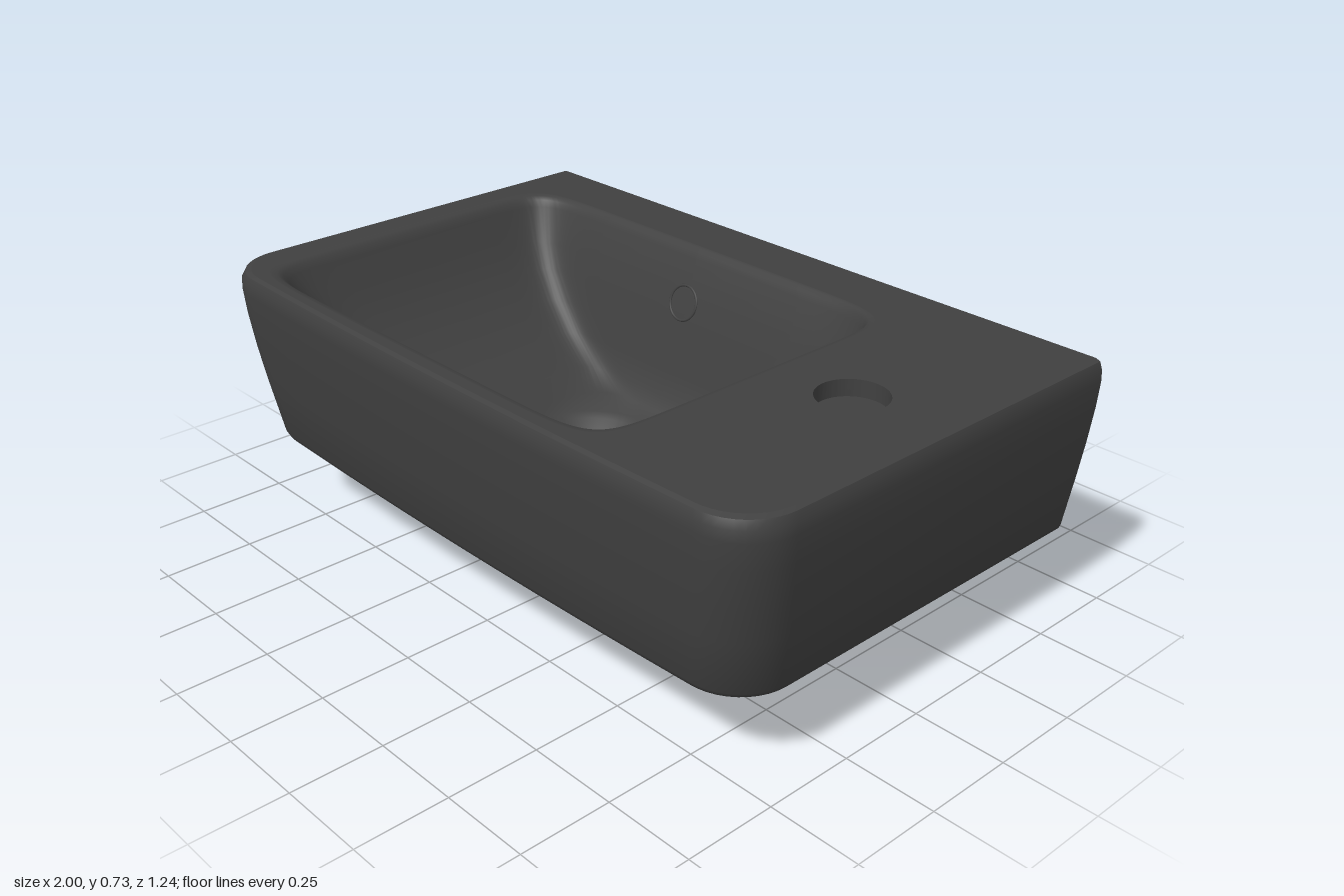
import * as THREE from 'three';
import { toCreasedNormals } from 'three/addons/utils/BufferGeometryUtils.js';

const ceramic = new THREE.MeshStandardMaterial({ color: 0x404040, side: THREE.DoubleSide });
ceramic.name = 'dark grey ceramic';

const BACK = -0.62, TOP = 0.725, LIP = 0.23, UNDER = 0.255;
const DRAIN = { x: -0.205, z: -0.025 };

// Skin through rows of [x, y, z] points
function loft(rows, { closed = false, flip = false, crease = 0.7 } = {}) {
  const n = rows[0].length, index = [];
  for (let i = 0; i < rows.length - 1; i++) {
    for (let j = 0; j < (closed ? n : n - 1); j++) {
      const k = (j + 1) % n;
      const a = i * n + j, b = i * n + k, c = a + n, d = b + n;
      index.push(...(flip ? [a, d, b, a, c, d] : [a, b, d, a, d, c]));
    }
  }
  const g = new THREE.BufferGeometry();
  g.setAttribute('position', new THREE.Float32BufferAttribute(rows.flat(2), 3));
  g.setIndex(index);
  return toCreasedNormals(g, crease);
}

// Flat horizontal plate from [x, z] outlines
function plate(outline, holes, y, up) {
  const s = up ? -1 : 1;
  const vec = pts => pts.map(([x, z]) => new THREE.Vector2(x, s * z));
  const shape = new THREE.Shape(vec(outline));
  shape.holes = holes.map(h => new THREE.Path(vec(h)));
  return new THREE.ShapeGeometry(shape).rotateX(s * Math.PI / 2).translate(0, y, 0);
}

// Upright plate in the x-y plane that faces the back
function backPlate(pts, z) {
  const shape = new THREE.Shape(pts.map(([x, y]) => new THREE.Vector2(-x, y)));
  return new THREE.ShapeGeometry(shape).rotateY(Math.PI).translate(0, 0, z);
}

// Closed loop between bounds: power 2 is an ellipse, higher is squarer
function loop(x0, x1, z0, z1, power = 2, count = 128) {
  const soft = v => Math.sign(v) * Math.abs(v) ** (2 / power);
  return Array.from({ length: count }, (_, i) => {
    const t = i / count * Math.PI * 2;
    return [
      (x0 + x1) / 2 + soft(Math.cos(t)) * (x1 - x0) / 2,
      (z0 + z1) / 2 + soft(Math.sin(t)) * (z1 - z0) / 2,
    ];
  });
}
const circle = (r, x = DRAIN.x, z = DRAIN.z) => loop(x - r, x + r, z - r, z + r);
const lift = (pts, y) => pts.map(([x, z]) => [x, y, z]);

// Plan outline: square back, rounded front corners, slightly bowed front
function outline(hx, front) {
  const r = 0.15, half = [[hx, BACK]];
  const bow = x => front - 0.02 * (x / hx) ** 2;
  for (let i = 0; i <= 10; i++) {
    const a = i / 10 * Math.PI / 2;
    half.push([hx - r + r * Math.cos(a), bow(hx - r) - r + r * Math.sin(a)]);
  }
  for (let i = 1; i <= 6; i++) {
    const x = (hx - r) * (1 - i / 6);
    half.push([x, bow(x)]);
  }
  return [...half, ...half.slice(0, -1).reverse().map(([x, z]) => [-x, z])];
}

// Arched slot profile, walked from +x to -x
function arch({ x, w, top }) {
  const pts = [[x + w / 2, UNDER]];
  for (let i = 0; i <= 12; i++) {
    const a = i / 12 * Math.PI;
    pts.push([x + w / 2 * Math.cos(a), top - w / 2 + w / 2 * Math.sin(a)]);
  }
  return [...pts, [x - w / 2, UNDER]];
}

export function createModel() {
  const model = new THREE.Group();
  const add = (name, geometry) => {
    const m = new THREE.Mesh(geometry, ceramic);
    m.name = name;
    model.add(m);
    return m;
  };

  // Outer walls and bottom lip: [y, half width, front z]
  const levels = [
    [TOP, 0.978, 0.602], [0.72, 0.99, 0.614], [0.70, 0.998, 0.622], [0.67, 1, 0.622], [0.6, 0.995, 0.617],
    [0.5, 0.983, 0.606], [0.4, 0.968, 0.592], [0.25, 0.943, 0.568], [0.237, 0.938, 0.562], [LIP, 0.926, 0.55],
    [LIP, 0.895, 0.518], [UNDER, 0.88, 0.503],
  ];
  add('outerWalls', loft(levels.map(([y, hx, f]) => lift(outline(hx, f), y))));

  // Basin: a rounded trough with sloping front and back walls, ending in the drain
  const rim = loop(-0.905, 0.5, -0.455, 0.57, 10);
  const basin = [
    [0.723, -0.888, 0.487, -0.447, 0.556, 10],
    [0.714, -0.875, 0.48, -0.44, 0.545, 10],
    [0.695, -0.866, 0.475, -0.43, 0.528, 11],
    [0.60, -0.82, 0.452, -0.394, 0.457, 12],
    [0.53, -0.775, 0.412, -0.372, 0.408, 12],
    [0.455, -0.71, 0.35, -0.35, 0.358, 11],
    [0.38, -0.625, 0.25, -0.329, 0.31, 10],
    [0.31, -0.515, 0.11, -0.307, 0.262, 8],
    [0.272, -0.44, 0.03, -0.28, 0.23, 4],
  ].map(([y, ...shape]) => lift(loop(...shape), y));
  [[0.25, 0.21], [0.238, 0.19], [0.205, 0.145], [0.185, 0.12], [0.17, 0.112], [0, 0.112]]
    .forEach(([y, r]) => basin.push(lift(circle(r), y)));
  add('basin', loft([lift(rim, TOP), ...basin], { closed: true, flip: true, crease: 0.9 }));

  // Deck with basin opening and shallow tap recess
  const tap = circle(0.09, 0.72, -0.03);
  add('deck', plate(outline(levels[0][1], levels[0][2]), [rim, tap], TOP, true));
  add('tapRecessWall', loft([lift(tap, TOP), lift(tap, TOP - 0.045)], { closed: true, flip: true }));
  add('tapRecessFloor', plate(tap, [], TOP - 0.045, true));

  // Overflow opening on the basin's back wall
  const overflow = add('overflowRing', new THREE.TorusGeometry(0.05, 0.004, 8, 32));
  overflow.position.set(-0.2, 0.575, -0.386);
  overflow.rotation.x = -0.32;

  // Back wall with four mounting slots and the end of the support
  const slots = [
    { x: 0.645, w: 0.09, top: 0.48, depth: 0.1 },
    { x: 0.06, w: 0.16, top: 0.63, depth: 0.16 },
    { x: -0.385, w: 0.1, top: 0.63, depth: 0.16 },
    { x: -0.705, w: 0.085, top: 0.48, depth: 0.1 },
  ];
  const side = levels.map(([y, hx]) => [hx, y]);
  add('backWall', backPlate([
    ...side, ...slots.slice(0, 2).flatMap(arch), [-0.05, 0.03], [-0.31, 0.03],
    ...slots.slice(2).flatMap(arch), ...side.map(([x, y]) => [-x, y]).reverse(),
  ], BACK));
  slots.forEach((s, i) => {
    const pts = arch(s), end = BACK + s.depth;
    add('mountingSlot', loft([BACK, end].map(z => pts.map(([x, y]) => [x, y, z])), { flip: true }));
    if (i > 0) add('mountingSlotEnd', backPlate(pts, end));
  });

  // Tap access pocket, open to the first slot
  const pocket = [
    [0.69, -0.52], [0.72, -0.51], [0.74, -0.35], [0.8, -0.05], [0.84, 0.08], [0.84, 0.36], [0.81, 0.43], [0.77, 0.45],
    [0.62, 0.45], [0.57, 0.43], [0.55, 0.38], [0.55, -0.49], [0.57, -0.52], [0.60, -0.52],
  ];
  add('tapPocketWalls', loft([lift(pocket, UNDER), lift(pocket, 0.48)]));
  add('tapPocketCeiling', plate(pocket, [], 0.48, false));

  // Small pocket behind the last slot
  const mouth = loop(-0.85, -0.64, -0.505, -0.16, 6), roof = loop(-0.84, -0.68, -0.49, -0.2, 6);
  add('smallPocketWalls', loft([lift(mouth, UNDER), lift(roof, 0.36)], { closed: true }));
  add('smallPocketCeiling', plate(roof, [], 0.36, false));

  // Boxy bowl bulge flowing into the round drain outlet
  const bulge = [
    [UNDER, -0.6, 0.2, -0.4, 0.32, 6], [0.23, -0.565, 0.165, -0.38, 0.305, 6], [0.205, -0.51, 0.11, -0.355, 0.275, 5],
    [0.19, -0.46, 0.05, -0.33, 0.24, 4], [0.178, -0.41, 0, -0.28, 0.19, 3],
  ].map(([y, ...shape]) => lift(loop(...shape), y));
  [[0.172, 0.19], [0.16, 0.18], [0.14, 0.173], [0.012, 0.17], [0.004, 0.167], [0, 0.16], [0, 0.112]]
    .forEach(([y, r]) => bulge.push(lift(circle(r), y)));
  add('drainOutlet', loft(bulge, { closed: true }));

  // Recessed underside, notched by the slots and open at the bulge
  const notches = slots.flatMap(({ x, w, depth }, i) => {
    const a = x + w / 2, b = x - w / 2, z = BACK + depth;
    return [[a, BACK], ...(i === 0 ? pocket : [[a, z], [b, z]]), [b, BACK]];
  });
  const [, lastWidth, lastFront] = levels[levels.length - 1];
  const opening = bulge[0].map(([x, , z]) => [x, z]);
  add('underside', plate([...outline(lastWidth, lastFront), ...notches.reverse()], [mouth, opening], UNDER, false));

  // Tapered support from the back wall to the drain outlet: [z, bottom, top, half bottom, half top]
  add('rearSupport', loft([
    [BACK, 0.03, UNDER, 0.13, 0.157], [-0.39, 0.03, UNDER, 0.13, 0.157], [-0.235, 0.03, 0.185, 0.13, 0.145],
    [-0.2, 0.008, 0.175, 0.12, 0.135], [-0.16, 0.004, 0.165, 0.1, 0.1],
  ].map(([z, y0, y1, h0, h1]) => [[-h0, y0], [h0, y0], [h1, y1], [-h1, y1]].map(([x, y]) => [x - 0.179, y, z])),
  { closed: true }));

  return model;
}
